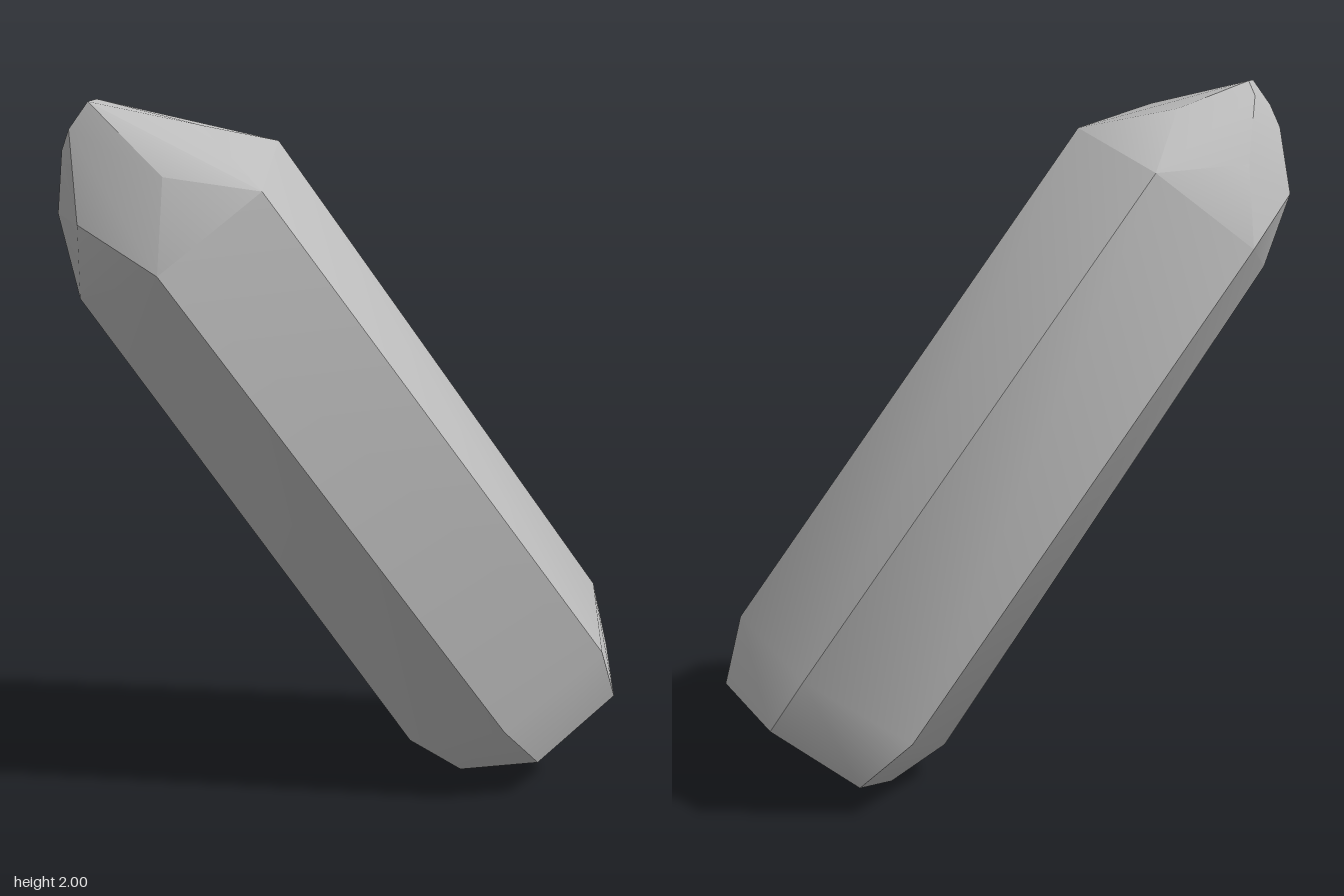
import * as THREE from 'three';
import { toCreasedNormals } from 'three/addons/utils/BufferGeometryUtils.js';
import { ConvexGeometry } from 'three/addons/geometries/ConvexGeometry.js';

// Six-sided leaning crystal: each row is one ring or group of corners [x, y, z]
const base = [
  [0.77, 0.275, 0], [0.765, 0.335, -0.275], [0.59, 0.265, -0.46],
  [0.36, 0.085, -0.38], [0.33, 0, -0.09], [0.55, 0.105, 0.1],
];
const shaftBottom = [
  [0.725, 0.44, 0.095], [0.72, 0.53, -0.265], [0.48, 0.43, -0.518],
  [0.205, 0.23, -0.41], [0.18, 0.105, -0.05], [0.45, 0.235, 0.2],
];
const shaftTop = [
  [-0.2, 1.78, 0.41], [-0.185, 1.875, 0.065], [-0.42, 1.77, -0.175],
  [-0.68, 1.56, -0.07], [-0.7, 1.475, 0.28], [-0.46, 1.575, 0.515],
];
// Irregular facets of the point
const tip = [
  [-0.37, 1.935, 0.275], [-0.46, 1.93, 0.05], [-0.66, 1.785, -0.005],
  [-0.665, 1.96, 0.215], [-0.645, 2, 0.255], [-0.655, 2, 0.335],
  [-0.705, 1.93, 0.345], [-0.735, 1.87, 0.29], [-0.77, 1.69, 0.185],
  [-0.68, 1.69, 0.405], [-0.45, 1.82, 0.45],
];

export function createModel() {
  const stone = new THREE.MeshStandardMaterial({ color: 0xbcbcbc });
  stone.name = 'grey stone';

  const corners = [...base, ...shaftBottom, ...shaftTop, ...tip]
    .map((p) => new THREE.Vector3(...p));
  // Long edges stay sharp, shallow bevels blend
  const crystal = new THREE.Mesh(toCreasedNormals(new ConvexGeometry(corners), 0.6), stone);
  crystal.name = 'crystal';

  const group = new THREE.Group();
  group.name = 'hexagonalCrystal';
  group.add(crystal);
  return group;
}
